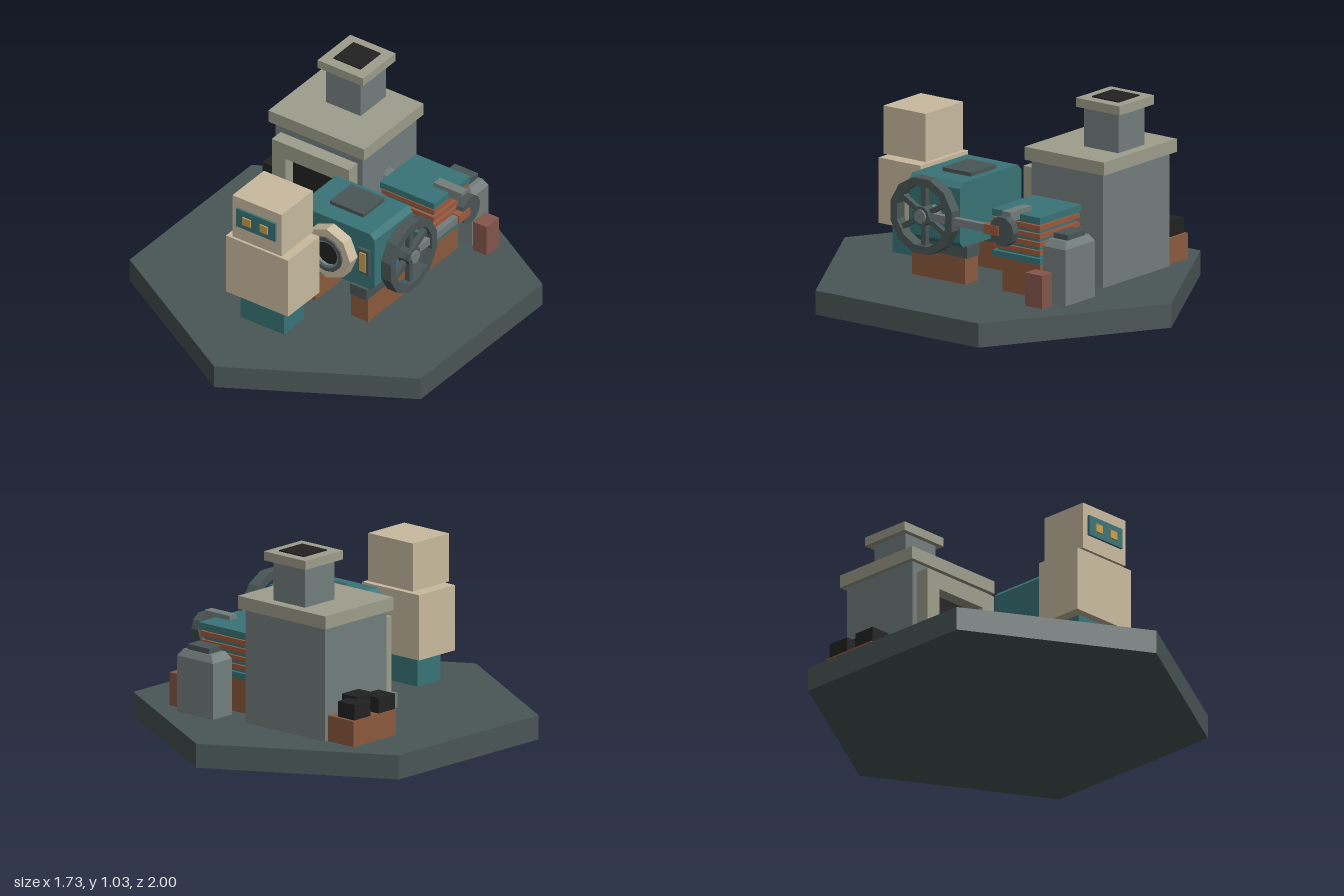
import * as THREE from 'three';

const material = (name, color) => {
  const m = new THREE.MeshStandardMaterial({ color });
  m.name = name;
  return m;
};

export function createModel() {
  const slate = material('slate', 0x4a5656);
  const iron = material('iron grey', 0x737e7d);
  const stone = material('pale stone', 0x9d9e8c);
  const cream = material('cream', 0xc9bba0);
  const teal = material('teal', 0x397477);
  const black = material('soot black', 0x222222);
  const gold = material('gold', 0xc8a24f);
  const brown = material('brown', 0x8b5a3e);
  const copper = material('copper', 0x9d5a3e);
  const brick = material('brick red', 0x84564b);

  const model = new THREE.Group();
  model.name = 'steamWorkshop';

  const group = (name) => {
    const g = new THREE.Group();
    g.name = name;
    model.add(g);
    return g;
  };
  // Faceted mesh: split corners so every face is flat
  const add = (parent, name, geometry, mat) => {
    const g = geometry.index ? geometry.toNonIndexed() : geometry;
    g.computeVertexNormals();
    const mesh = new THREE.Mesh(g, mat);
    mesh.name = name;
    parent.add(mesh);
    return mesh;
  };
  // Box given by its extents along each axis
  const box = (parent, name, mat, [x0, x1], [y0, y1], [z0, z1]) => {
    const mesh = add(parent, name, new THREE.BoxGeometry(x1 - x0, y1 - y0, z1 - z0), mat);
    mesh.position.set((x0 + x1) / 2, (y0 + y1) / 2, (z0 + z1) / 2);
    return mesh;
  };
  // Cylinder lying along x
  const rod = (parent, name, mat, r, [x0, x1], y, z, sides = 10) => {
    const g = new THREE.CylinderGeometry(r, r, x1 - x0, sides).rotateZ(Math.PI / 2);
    const mesh = add(parent, name, g, mat);
    mesh.position.set((x0 + x1) / 2, y, z);
    return mesh;
  };
  const polygon = (r, sides, phase = 0) => Array.from({ length: sides }, (_, i) => {
    const a = phase + (i / sides) * Math.PI * 2;
    return new THREE.Vector2(Math.cos(a) * r, Math.sin(a) * r);
  });
  // Polygonal ring extruded along +z
  const ring = (outer, inner, sides, depth, phase = 0) => {
    const shape = new THREE.Shape(polygon(outer, sides, phase));
    shape.holes.push(new THREE.Path(polygon(inner, sides, phase).reverse()));
    return new THREE.ExtrudeGeometry(shape, { depth, bevelEnabled: false });
  };

  // Hexagonal platform
  add(model, 'platform', new THREE.CylinderGeometry(1, 1, 0.12, 6), slate).position.y = 0.06;

  // Furnace with hearth and chimney
  const furnace = group('furnace');
  box(furnace, 'furnaceBody', iron, [-0.485, 0.035], [0.14, 0.71], [-0.61, -0.17]);
  box(furnace, 'furnaceCap', stone, [-0.51, 0.06], [0.71, 0.775], [-0.635, -0.148]);
  box(furnace, 'hearthLintel', stone, [-0.453, 0.005], [0.575, 0.66], [-0.17, -0.098]);
  for (const x of [-0.453, -0.075])
    box(furnace, 'hearthPillar', stone, [x, x + 0.08], [0.27, 0.575], [-0.17, -0.098]);
  box(furnace, 'hearthSill', iron, [-0.453, 0.005], [0.195, 0.27], [-0.17, -0.058]);
  box(furnace, 'hearthOpening', black, [-0.373, -0.075], [0.27, 0.575], [-0.17, -0.162]);
  box(furnace, 'hearthFire', gold, [-0.345, -0.105], [0.28, 0.375], [-0.165, -0.14]);
  box(furnace, 'chimney', iron, [-0.328, -0.122], [0.775, 0.975], [-0.58, -0.37]);
  box(furnace, 'chimneyCap', stone, [-0.36, -0.09], [0.975, 1.02], [-0.613, -0.345]);
  box(furnace, 'chimneyMouth', black, [-0.306, -0.144], [1.018, 1.026], [-0.565, -0.4]);

  // Fuel tray
  const tray = group('coalTray');
  box(tray, 'tray', brown, [-0.652, -0.485], [0.14, 0.268], [-0.59, -0.285]);
  box(tray, 'coal', black, [-0.643, -0.535], [0.248, 0.345], [-0.573, -0.456]);
  box(tray, 'coal', black, [-0.643, -0.535], [0.248, 0.345], [-0.4, -0.283]);
  box(tray, 'coal', black, [-0.587, -0.485], [0.268, 0.357], [-0.49, -0.37]);

  // Robot attendant
  const robot = group('robot');
  box(robot, 'robotLegs', teal, [-0.13, 0.13], [0.14, 0.29], [0.44, 0.605]);
  box(robot, 'robotBody', cream, [-0.185, 0.185], [0.29, 0.616], [0.39, 0.648]);
  box(robot, 'robotHead', cream, [-0.146, 0.146], [0.627, 0.867], [0.39, 0.648]);
  box(robot, 'robotNeck', slate, [-0.08, 0.08], [0.616, 0.627], [0.45, 0.59]);
  box(robot, 'facePlate', teal, [-0.115, 0.115], [0.705, 0.808], [0.648, 0.66]);
  for (const s of [-1, 1])
    box(robot, 'eye', gold, [s * 0.051 - 0.023, s * 0.051 + 0.023], [0.733, 0.775], [0.659, 0.667]);

  // Engine housing with bevelled edges
  const engine = group('engine');
  const cx = 0.187, cy = 0.487, hw = 0.24, hh = 0.162, bev = 0.027;
  const outline = [[hw, hh - bev], [hw - bev, hh], [bev - hw, hh], [-hw, hh - bev],
    [-hw, bev - hh], [bev - hw, -hh], [hw - bev, -hh], [hw, bev - hh]];
  const housing = add(engine, 'engineHousing', new THREE.ExtrudeGeometry(
    new THREE.Shape(outline.map(([x, y]) => new THREE.Vector2(x, y))),
    { depth: 0.312, bevelEnabled: false }), teal);
  housing.position.set(cx, cy, -0.04);
  box(engine, 'topPlate', slate, [0.09, 0.29], [0.648, 0.668], [0, 0.175]);
  for (const s of [-1, 1]) {
    const x = cx + s * 0.157;
    box(engine, 'engineFoot', slate, [x - 0.049, x + 0.049], [0.27, 0.33], [-0.058, 0.29]);
    box(engine, 'enginePier', brown, [x - 0.05, x + 0.05], [0.14, 0.27], [-0.047, 0.28]);
  }

  // Round inspection port
  const front = (name, geometry, mat, z) => add(engine, name, geometry, mat).position.set(cx, cy, z);
  front('portCollar', ring(0.14, 0.09, 8, 0.065), cream, 0.27);
  front('portRing', ring(0.096, 0.078, 12, 0.073), slate, 0.272);
  front('portInnerRing', ring(0.08, 0.066, 12, 0.066), iron, 0.272);
  front('portGlass', new THREE.CylinderGeometry(0.07, 0.07, 0.05, 12).rotateX(Math.PI / 2), black, 0.297);

  // Side gauge
  box(engine, 'gaugeFrame', slate, [0.341, 0.403], [0.417, 0.556], [0.27, 0.29]);
  box(engine, 'gaugeLight', gold, [0.354, 0.39], [0.432, 0.54], [0.289, 0.297]);

  // Flywheel on its shaft
  const wheel = group('flywheel');
  const wz = 0.107;
  const rim = add(wheel, 'flywheelRim', ring(0.194, 0.153, 12, 0.06, Math.PI / 12).rotateY(Math.PI / 2), slate);
  rim.position.set(0.482, cy, wz);
  for (let i = 0; i < 3; i++) {
    const spoke = add(wheel, 'flywheelSpoke', new THREE.BoxGeometry(0.028, 0.33, 0.026), slate);
    spoke.position.set(0.512, cy, wz);
    spoke.rotation.x = (i * Math.PI) / 3;
  }
  rod(wheel, 'flywheelHub', slate, 0.05, [0.482, 0.545], cy, wz);
  rod(wheel, 'flywheelShaft', iron, 0.035, [0.42, 0.555], cy, wz);

  // Finned rear cylinder
  const press = group('finnedCylinder');
  box(press, 'cylinderCore', teal, [0.115, 0.397], [0.34, 0.54], [-0.505, -0.25]);
  box(press, 'cylinderTop', teal, [0.095, 0.417], [0.522, 0.556], [-0.524, -0.23]);
  box(press, 'cylinderBottom', teal, [0.095, 0.417], [0.32, 0.35], [-0.524, -0.23]);
  for (let i = 0; i < 4; i++) {
    const y = 0.375 + i * 0.042;
    box(press, 'coolingFin', copper, [0.1, 0.412], [y - 0.012, y + 0.012], [-0.518, -0.235]);
  }
  box(press, 'cylinderPier', brown, [0.14, 0.372], [0.14, 0.32], [-0.487, -0.257]);
  rod(press, 'steamPipe', iron, 0.045, [0.03, 0.11], cy, -0.376);

  // Crank and connecting rod
  const crank = group('crank');
  box(crank, 'crankArm', iron, [0.327, 0.492], [0.53, 0.578], [-0.402, -0.35]);
  rod(crank, 'crankDisc', slate, 0.075, [0.49, 0.532], cy, -0.376);
  box(crank, 'connectingRod', iron, [0.498, 0.53], [0.468, 0.506], [-0.3, 0.1]);
  box(crank, 'rodEnd', copper, [0.495, 0.537], [0.464, 0.511], [-0.362, -0.27]);

  // Rear tank with a sloped shoulder
  const tank = group('rearTank');
  const tx = 0.301, tz = -0.61;
  box(tank, 'tankBody', iron, [0.185, 0.417], [0.14, 0.42], [-0.678, -0.542]);
  const shoulder = new THREE.BoxGeometry(0.232, 0.035, 0.136);
  const p = shoulder.attributes.position;
  for (let i = 0; i < p.count; i++)
    if (p.getY(i) > 0) p.setXYZ(i, p.getX(i) * 0.79, p.getY(i), p.getZ(i) * 0.75);
  add(tank, 'tankShoulder', shoulder, iron).position.set(tx, 0.4375, tz);
  box(tank, 'tankLid', slate, [0.232, 0.37], [0.45, 0.482], [-0.655, -0.57]);

  // Brick post
  box(model, 'brickPost', brick, [0.442, 0.523], [0.14, 0.305], [-0.617, -0.515]);

  return model;
}
